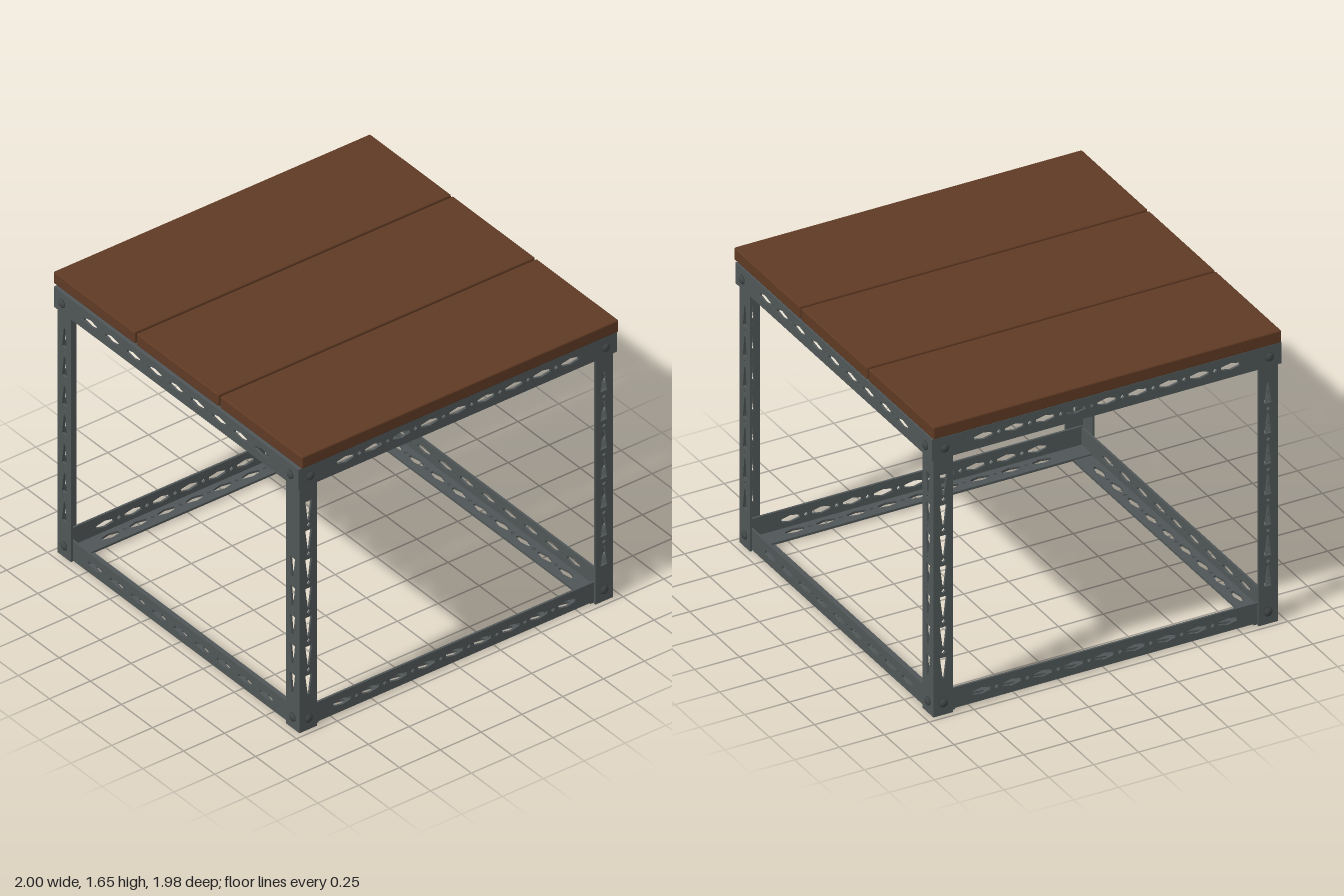
import * as THREE from 'three';
import { RoundedBoxGeometry } from 'three/addons/geometries/RoundedBoxGeometry.js';

const steel = new THREE.MeshStandardMaterial({ color: 0x505657 });
steel.name = 'slotted steel';
const boltSteel = new THREE.MeshStandardMaterial({ color: 0x424748 });
boltSteel.name = 'bolt steel';
const wood = new THREE.MeshStandardMaterial({ color: 0x5f3a24 });
wood.name = 'stained wood';

const T = 0.012; // sheet thickness
const PITCH = 0.172; // distance between slots
const TAPERED = [[-0.055, -0.02], [0.06, -0.005], [0.06, 0.005], [-0.055, 0.02]];
const LONG = [[-0.052, -0.008], [0, -0.019], [0.052, -0.008], [0.052, 0.008], [0, 0.019], [-0.052, 0.008]];
const SMALL = [[-0.012, 0], [0, -0.012], [0.012, 0], [0, 0.012]];

// Perforated strip along x, width along y, thickness along z
function flange(length, width, slot, plain) {
  const h = length / 2;
  const shape = new THREE.Shape();
  shape.moveTo(-h, 0).lineTo(h, 0).lineTo(h, width).lineTo(-h, width).closePath();
  const punch = (pts, x) => {
    if (plain && x > plain[0] && x < plain[1]) return;
    shape.holes.push(new THREE.Path(pts.map(([px, py]) => new THREE.Vector2(px + x, py + 0.056)).reverse()));
  };
  const n = Math.floor((h - 0.16) / PITCH);
  for (let i = -n; i <= n; i++) {
    punch(slot, i * PITCH);
    if (i < n) punch(SMALL, (i + 0.5) * PITCH);
  }
  return new THREE.ExtrudeGeometry(shape, { depth: T, bevelEnabled: false });
}

// L-section bar: heel at the given point, one flange towards a, the other towards b
function angleBar(name, length, width, slot, heel, a, b, plain) {
  const A = new THREE.Vector3(...a), B = new THREE.Vector3(...b);
  const X = new THREE.Vector3().crossVectors(A, B);
  const bar = new THREE.Group();
  bar.name = name;
  const first = new THREE.Mesh(flange(length, width, slot, plain), steel);
  first.name = name + 'FlangeA';
  const second = new THREE.Mesh(flange(length, width, slot).rotateX(Math.PI / 2).translate(0, T, 0), steel);
  second.name = name + 'FlangeB';
  bar.add(first, second);
  bar.quaternion.setFromRotationMatrix(new THREE.Matrix4().makeBasis(X, A, B));
  bar.position.set(...heel);
  return bar;
}

// Bolt head facing along a horizontal direction
function bolt(position, dir) {
  const profile = [[0, 0.014], [0.014, 0.012], [0.024, 0.005], [0.025, 0], [0, 0]].reverse();
  const geo = new THREE.LatheGeometry(profile.map(p => new THREE.Vector2(...p)), 10);
  const mesh = new THREE.Mesh(geo, boltSteel);
  mesh.name = 'bolt';
  mesh.quaternion.setFromUnitVectors(new THREE.Vector3(0, 1, 0), new THREE.Vector3(...dir));
  mesh.position.set(...position);
  return mesh;
}

export function createModel() {
  const table = new THREE.Group();
  table.name = 'table';

  // Three planks with narrow gaps
  for (const [x0, x1] of [[-1, -0.346], [-0.334, 0.327], [0.339, 1]]) {
    const plank = new THREE.Mesh(new RoundedBoxGeometry(x1 - x0, 0.07, 1.94, 2, 0.008), wood);
    plank.name = 'plank';
    plank.position.set((x0 + x1) / 2, 1.617, -0.005);
    table.add(plank);
  }

  // Legs, with bolts at top and bottom of both outer faces
  for (const sx of [-1, 1]) for (const sz of [-1, 1]) {
    const plain = sx > 0 && sz > 0 ? [-0.68, -0.2] : null;
    table.add(angleBar('leg', 1.568, 0.108, TAPERED, [sx * 0.972, 0.784, sz * 0.96],
      [-sx, 0, 0], [0, 0, -sz], plain));
    for (const [y, out] of [[1.512, 0.014], [0.068, 0]]) {
      table.add(bolt([sx * 0.918, y, sz * (0.96 + out)], [0, 0, sz]));
      table.add(bolt([sx * (0.972 + out), y, sz * 0.905], [sx, 0, 0]));
    }
  }

  // Top rails wrap the legs, bottom rails sit inside them
  for (const s of [-1, 1]) {
    table.add(angleBar('topRail', 1.968, 0.118, LONG, [0, 1.574, s * 0.974], [0, -1, 0], [0, 0, -s]));
    table.add(angleBar('topSideRail', 1.946, 0.118, LONG, [s * 0.985, 1.574, 0], [0, -1, 0], [-s, 0, 0]));
    table.add(angleBar('bottomRail', 1.916, 0.114, LONG, [0, 0.004, s * 0.947], [0, 1, 0], [0, 0, -s]));
    table.add(angleBar('bottomSideRail', 1.892, 0.114, LONG, [s * 0.959, 0.012, 0], [0, 1, 0], [-s, 0, 0]));
  }
  return table;
}
